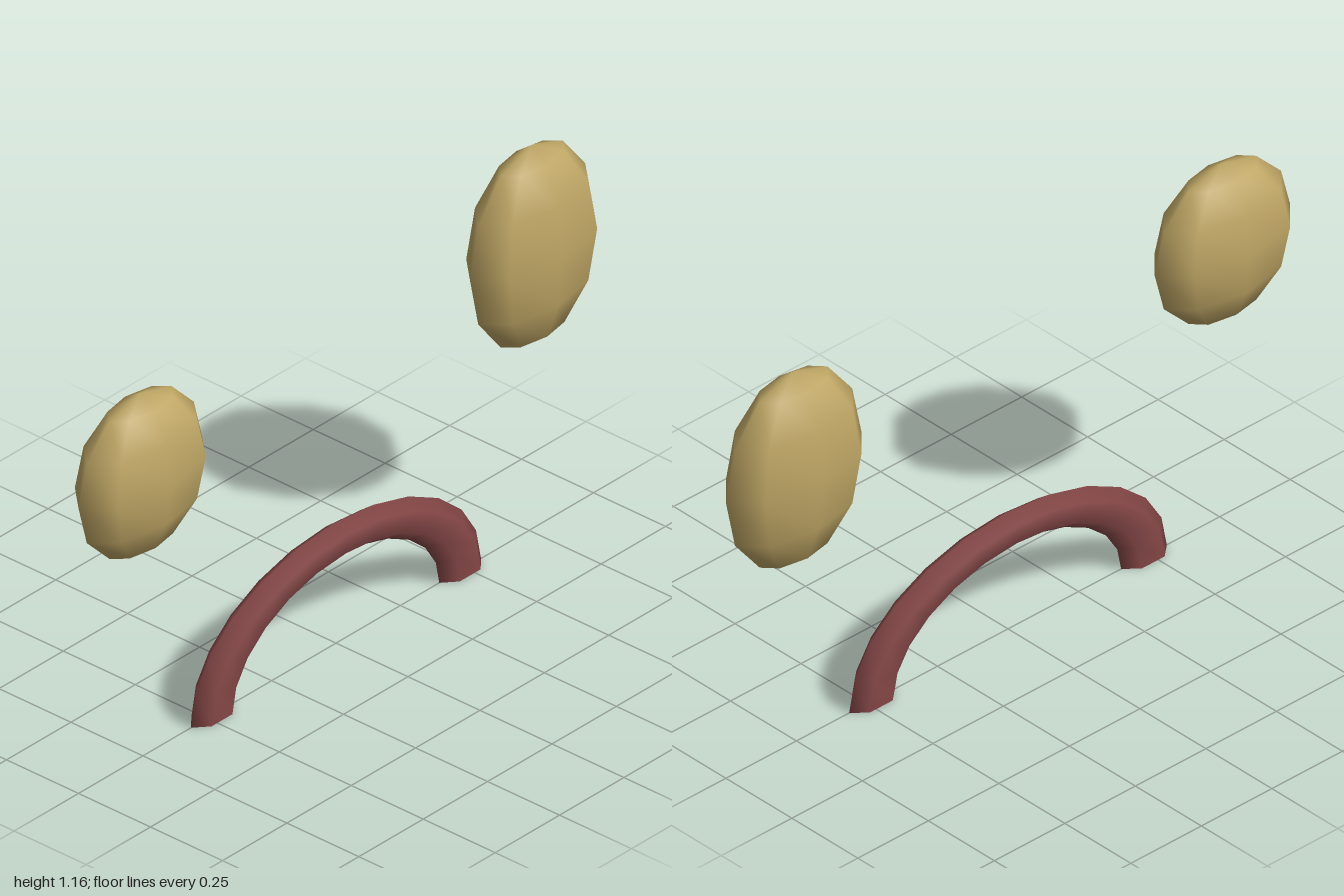
import * as THREE from 'three';

export function createModel() {
  const model = new THREE.Group();
  const gold = new THREE.MeshStandardMaterial({ color: 0xbfa665 });
  const red = new THREE.MeshStandardMaterial({ color: 0x844646, side: THREE.DoubleSide });

  // Flattened low-poly eyes; the left one is taller
  const eyeGeometry = new THREE.SphereGeometry(1, 8, 6);
  for (const [name, x, height] of [['rightEye', -0.76, 0.24], ['leftEye', 0.76, 0.3]]) {
    const eye = new THREE.Mesh(eyeGeometry, gold);
    eye.name = name;
    eye.scale.set(0.24, height, 0.107);
    eye.position.set(x, 0.865, 0);
    model.add(eye);
  }

  // Down-turned mouth: a squashed half ring with open ends
  const mouth = new THREE.Mesh(new THREE.TorusGeometry(0.482, 0.081, 6, 12, Math.PI), red);
  mouth.name = 'mouth';
  mouth.scale.set(1, 0.65, 0.5);
  model.add(mouth);

  return model;
}
